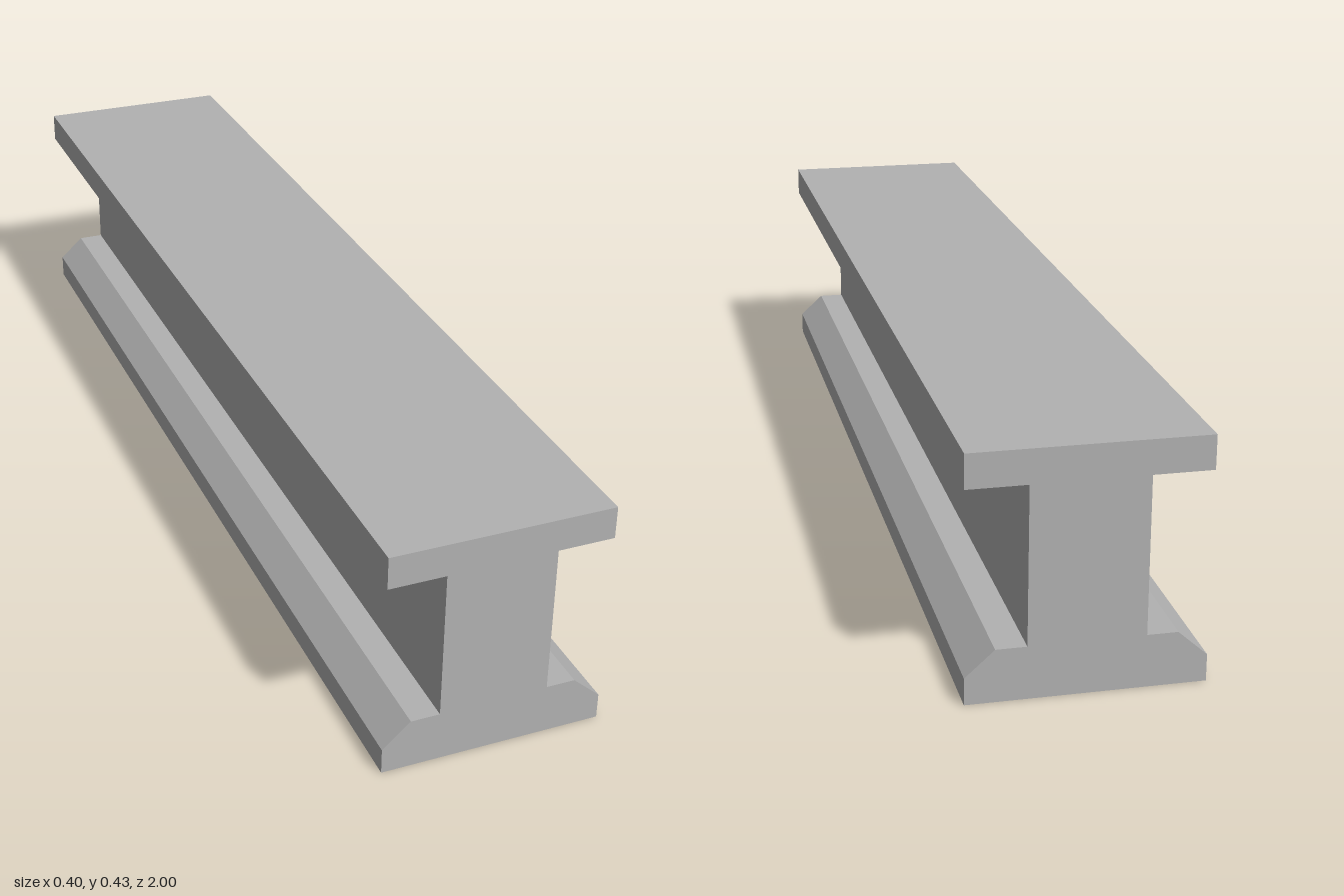
import * as THREE from 'three';

export function createModel() {
  const group = new THREE.Group();
  group.name = 'beam';

  const concreteGrey = new THREE.MeshStandardMaterial({ color: 0xb2b2b2 });
  concreteGrey.name = 'concreteGrey';

  // Right half of the cross-section, bottom to top; mirrored for the other half
  const half = [
    [0.2, 0], [0.2, 0.047], [0.15, 0.092], [0.098, 0.092], // chamfered foot
    [0.098, 0.366], [0.2, 0.366], [0.2, 0.425],            // web and top flange
  ];
  const mirrored = half.map(([x, y]) => [-x, y]).reverse();
  const profile = new THREE.Shape([...half, ...mirrored].map(([x, y]) => new THREE.Vector2(x, y)));

  // Full-length girder
  const geometry = new THREE.ExtrudeGeometry(profile, { depth: 2, bevelEnabled: false });
  geometry.translate(0, 0, -1);
  const girder = new THREE.Mesh(geometry, concreteGrey);
  girder.name = 'girder';
  group.add(girder);

  return group;
}
